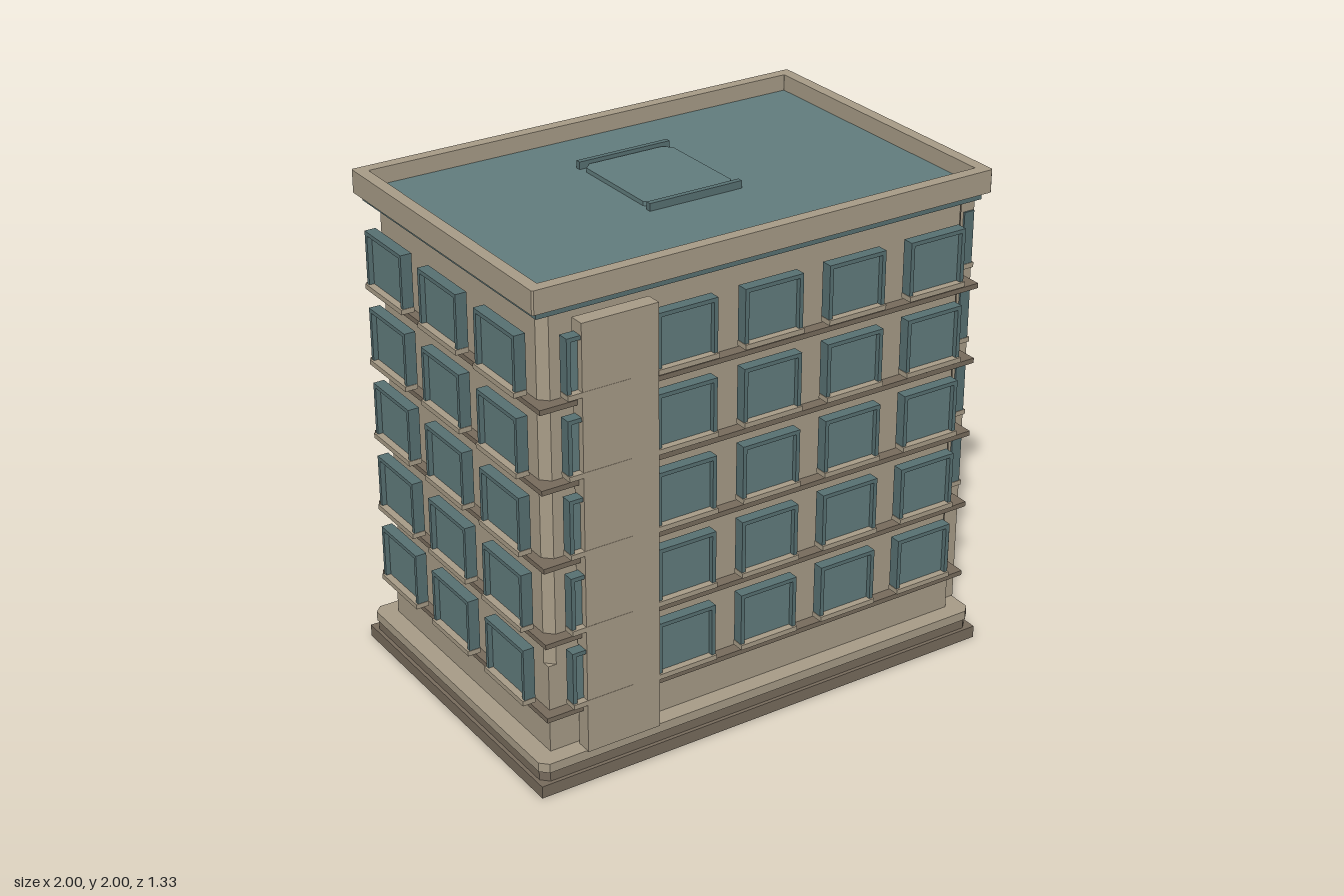
import * as THREE from 'three';

const mat = (name, color) => {
  const m = new THREE.MeshStandardMaterial({ color });
  m.name = name;
  return m;
};

export function createModel() {
  const tan = mat('tan stone', 0xa99d88);
  const brown = mat('brown stone', 0x786c5d);
  const teal = mat('teal glass', 0x627d7e);
  const slate = mat('slate frame', 0x587173);
  const model = new THREE.Group();
  model.name = 'building';

  // Box given by its minimum and maximum corners
  function box(parent, name, m, [x0, y0, z0], [x1, y1, z1]) {
    const g = new THREE.BoxGeometry(x1 - x0, y1 - y0, z1 - z0);
    const mesh = new THREE.Mesh(g, m);
    mesh.position.set((x0 + x1) / 2, (y0 + y1) / 2, (z0 + z1) / 2);
    mesh.name = name;
    parent.add(mesh);
    return mesh;
  }

  // Rectangle with cut corners, half sizes w and d
  function outline(w, d, c, Type = THREE.Shape) {
    const s = new Type();
    s.moveTo(-w + c, -d);
    [[w - c, -d], [w, -d + c], [w, d - c], [w - c, d], [-w + c, d], [-w, d - c], [-w, -d + c]]
      .forEach(([x, y]) => s.lineTo(x, y));
    s.closePath();
    return s;
  }

  // Upright prism between two heights
  function prism(name, m, shape, y0, y1) {
    const g = new THREE.ExtrudeGeometry(shape, { depth: y1 - y0, bevelEnabled: false, curveSegments: 4 });
    g.rotateX(-Math.PI / 2);
    const mesh = new THREE.Mesh(g, m);
    mesh.position.y = y0;
    mesh.name = name;
    model.add(mesh);
    return mesh;
  }

  // Stepped base
  box(model, 'baseSlab', brown, [-1, 0, -0.665], [1, 0.05, 0.665]);
  prism('basePlinth', brown, outline(0.985, 0.65, 0.03), 0.05, 0.09);
  prism('baseTop', tan, outline(0.99, 0.655, 0.03), 0.09, 0.128);

  // Walls: square at the ground, chamfered corners above
  box(model, 'lowerWalls', tan, [-0.915, 0.128, -0.585], [0.915, 0.49, 0.585]);
  prism('upperWalls', tan, outline(0.915, 0.585, 0.033), 0.49, 1.885);

  // Floor ledges; the lowest one is broken by the entrance
  for (let i = 0; i < 5; i++) {
    const y0 = 0.286 + i * 0.31, y1 = y0 + 0.02;
    if (i > 0) {
      box(model, 'floorLedge', brown, [-0.95, y0, -0.63], [0.95, y1, 0.63]);
    } else {
      box(model, 'floorLedge', brown, [-0.95, y0, -0.63], [0.9, y1, 0.63]);
      box(model, 'floorLedgeFront', brown, [0.9, y0, 0.21], [0.95, y1, 0.63]);
      box(model, 'floorLedgeBack', brown, [0.9, y0, -0.63], [0.95, y1, -0.345]);
    }
  }

  // Window box: pane, frame and sill, facing local +z
  function makeWindow(w, h) {
    const g = new THREE.Group();
    g.name = 'window';
    const t = 0.016, x = w / 2;
    box(g, 'pane', teal, [-x + t, 0, 0], [x - t, h - t, 0.025]);
    for (const s of [-1, 1]) {
      const c = s * (x - t / 2);
      box(g, 'frameSide', slate, [c - t / 2, 0, 0], [c + t / 2, h, 0.045]);
    }
    box(g, 'frameTop', slate, [-x + t, h - t, 0], [x - t, h, 0.045]);
    box(g, 'sill', tan, [-x - 0.002, -0.018, 0], [x + 0.002, 0.002, 0.053]);
    return g;
  }

  for (let floor = 0; floor < 5; floor++) {
    const y = 0.345 + floor * 0.31;
    for (let i = -2; i <= 2; i++) {
      for (const s of [1, -1]) {
        const win = makeWindow(0.25, 0.213);
        win.position.set(i * 0.365, y, s * 0.61);
        win.rotation.y = s > 0 ? 0 : Math.PI;
        model.add(win);
      }
    }
    for (let i = -1; i <= 1; i++) {
      for (const s of [1, -1]) {
        if (s > 0 && floor === 0) continue; // entrance level
        const win = makeWindow(0.275, 0.213);
        win.position.set(s * 0.945, y, i * 0.4);
        win.rotation.y = s * Math.PI / 2;
        model.add(win);
      }
    }
  }

  // Tall slabs standing in front of the walls
  box(model, 'frontSlab', tan, [-0.8, 0.125, 0.6], [-0.49, 1.845, 0.662]);
  box(model, 'sideSlab', tan, [0.93, 0.125, 0.33], [0.995, 1.845, 0.53]);

  // Entrance
  const entrance = new THREE.Group();
  entrance.name = 'entrance';
  model.add(entrance);
  box(entrance, 'step', tan, [0.9, 0.001, -0.35], [1.002, 0.05, 0.21]);
  box(entrance, 'pillar', tan, [0.9, 0.125, 0.16], [0.965, 0.48, 0.21]);
  box(entrance, 'pillar', tan, [0.9, 0.125, -0.345], [0.965, 0.48, -0.295]);
  box(entrance, 'doorLeft', teal, [0.91, 0.128, -0.066], [0.924, 0.465, 0.16]);
  box(entrance, 'doorRight', teal, [0.91, 0.128, -0.295], [0.924, 0.465, -0.072]);
  box(entrance, 'doorGap', slate, [0.91, 0.128, -0.072], [0.92, 0.465, -0.066]);
  box(entrance, 'lintel', tan, [0.91, 0.462, -0.18], [0.96, 0.476, 0.04]);
  box(entrance, 'canopy', tan, [0.9, 0.475, -0.385], [0.995, 0.51, 0.255]);
  box(entrance, 'canopyTop', teal, [0.9, 0.51, -0.36], [0.98, 0.538, 0.23]);

  // Cornice, parapet and roof
  box(model, 'cornice', slate, [-0.95, 1.88, -0.62], [0.95, 1.915, 0.62]);
  const rim = outline(0.977, 0.645, 0.006);
  rim.holes.push(outline(0.93, 0.598, 0.001, THREE.Path));
  prism('parapet', tan, rim, 1.91, 2);
  box(model, 'roof', teal, [-0.935, 1.912, -0.603], [0.935, 1.935, 0.603]);

  // Roof hatch with a rail on either side
  const hatch = prism('roofHatch', teal, outline(0.192, 0.222, 0.03), 1.93, 1.952);
  hatch.position.z = -0.092;
  box(model, 'hatchRail', slate, [-0.2, 1.93, -0.342], [0.2, 1.965, -0.32]);
  box(model, 'hatchRail', slate, [-0.2, 1.93, 0.137], [0.2, 1.965, 0.159]);

  return model;
}
